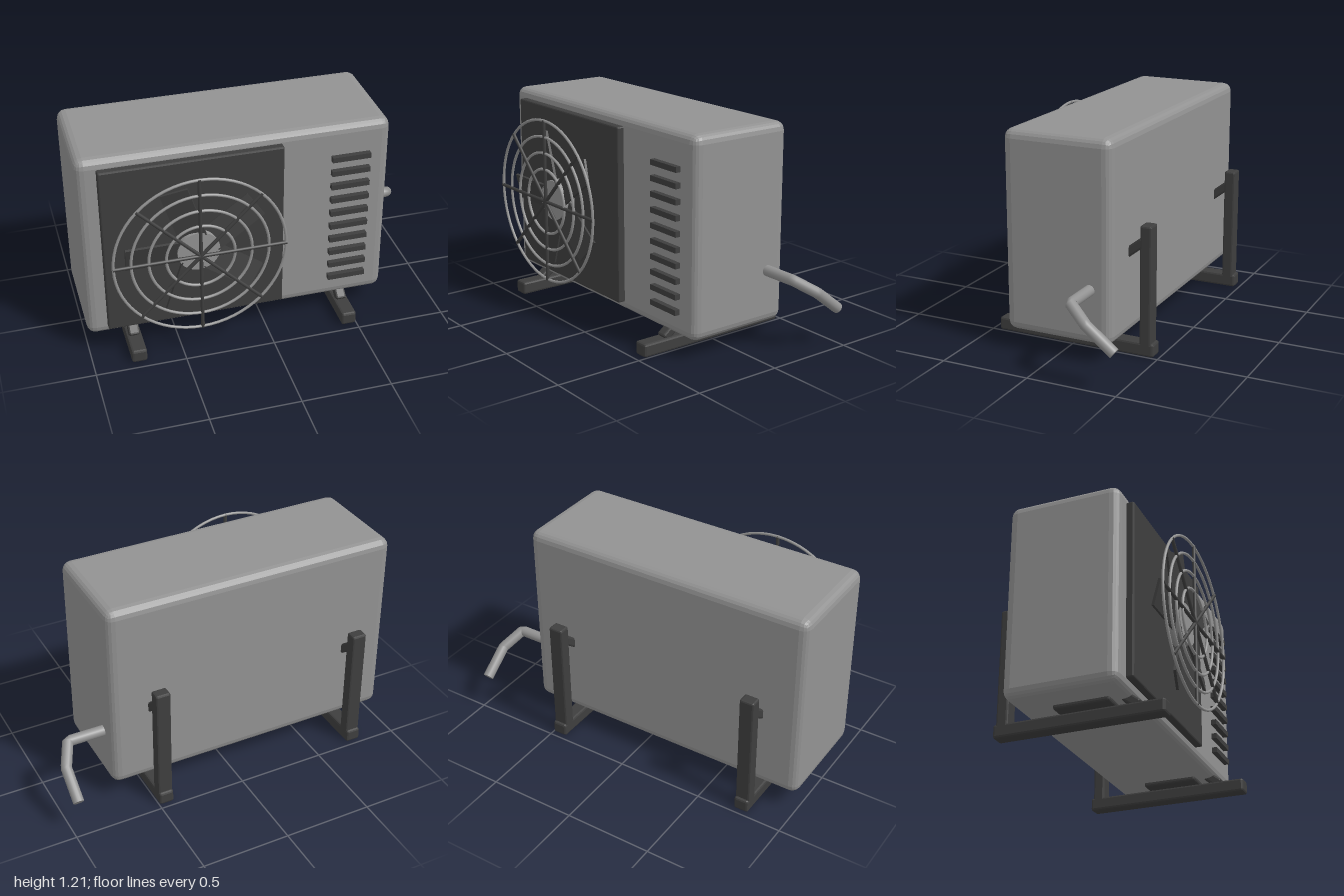
import * as THREE from 'three';
import { RoundedBoxGeometry } from 'three/addons/geometries/RoundedBoxGeometry.js';

const material = (name, color) => Object.assign(new THREE.MeshStandardMaterial({ color }), { name });

export function createModel() {
  const model = new THREE.Group();
  model.name = 'airConditionerUnit';
  const grey = material('casing grey', 0x929292);
  const dark = material('dark grey', 0x3e3e3e);

  function add(parent, name, geometry, mat, x = 0, y = 0, z = 0) {
    const mesh = new THREE.Mesh(geometry, mat);
    mesh.name = name;
    mesh.position.set(x, y, z);
    parent.add(mesh);
    return mesh;
  }
  function group(name, x = 0, y = 0, z = 0) {
    const g = new THREE.Group();
    g.name = name;
    g.position.set(x, y, z);
    model.add(g);
    return g;
  }
  // Box with faceted bevelled edges
  function bevelBox(w, h, d, bevel, segments = 1) {
    const g = new RoundedBoxGeometry(w, h, d, segments, bevel);
    g.computeVertexNormals();
    return g;
  }

  // Casing and the dark plate behind the fan
  add(model, 'casing', bevelBox(1.7, 1.1, 0.62, 0.05, 2), grey, -0.15, 0.655, -0.015);
  add(model, 'fanPanel', bevelBox(0.985, 0.99, 0.06, 0.008), dark, -0.3975, 0.655, 0.305);

  // Vent slats
  const vents = group('vents', 0.475, 0.248, 0.3);
  for (let i = 0; i < 10; i++) {
    add(vents, 'ventSlat', new THREE.BoxGeometry(0.215, 0.03, 0.05), dark, 0, i * 0.0853, 0);
  }

  // Fan: hub and five pitched blades
  const fan = group('fan', -0.4, 0.655, 0.4);
  const hub = add(fan, 'fanHub', new THREE.CylinderGeometry(0.115, 0.115, 0.075, 32), grey);
  hub.rotation.x = Math.PI / 2;
  for (let i = 0; i < 5; i++) {
    const arm = new THREE.Group();
    arm.name = 'fanBladeArm';
    arm.rotation.z = Math.PI + i * Math.PI * 2 / 5;
    fan.add(arm);
    const blade = add(arm, 'fanBlade', new THREE.BoxGeometry(0.31, 0.15, 0.014), dark, 0.235, 0, 0.014);
    blade.rotation.x = -0.25;
  }

  // Wire guard: concentric rings and crossing spokes
  const guard = group('fanGuard', -0.4, 0.655, 0.479);
  for (const radius of [0.185, 0.278, 0.371, 0.464]) {
    add(guard, 'guardRing', new THREE.TorusGeometry(radius, 0.008, 8, 64), grey);
  }
  for (let i = 0; i < 4; i++) {
    const spoke = add(guard, 'guardSpoke', new THREE.CylinderGeometry(0.01, 0.01, 0.935, 8), dark, 0, 0, 0.002);
    spoke.rotation.z = i * Math.PI / 4;
  }

  // Two wall brackets, each a foot, post, diagonal brace and rubber pad
  for (const x of [-0.75, 0.455]) {
    const bracket = group(x < 0 ? 'rightBracket' : 'leftBracket', x);
    add(bracket, 'foot', bevelBox(0.085, 0.075, 0.93, 0.012), dark, 0, 0.0375, -0.008);
    add(bracket, 'post', bevelBox(0.085, 0.70, 0.065, 0.01), dark, 0, 0.37, -0.425);
    const brace = add(bracket, 'brace', bevelBox(0.06, 0.05, 0.91, 0.01), dark, 0, 0.35, -0.048);
    brace.rotation.x = 0.665;
    add(bracket, 'pad', bevelBox(0.172, 0.04, 0.305, 0.01), dark, 0, 0.104, 0.033);
  }

  // Bent refrigerant pipe with a closed end
  const points = [[0.65, 0.405, -0.205], [0.905, 0.405, -0.205], [0.965, 0.33, -0.32], [0.965, 0.21, -0.475]]
    .map((p) => new THREE.Vector3(...p));
  const path = new THREE.CurvePath();
  for (let i = 0; i < 3; i++) path.add(new THREE.LineCurve3(points[i], points[i + 1]));
  const pipe = group('pipe');
  add(pipe, 'pipeTube', new THREE.TubeGeometry(path, 40, 0.03, 16), grey);
  const end = add(pipe, 'pipeEnd', new THREE.CircleGeometry(0.03, 16), grey, ...points[3].toArray());
  end.quaternion.setFromUnitVectors(new THREE.Vector3(0, 0, 1), points[3].clone().sub(points[2]).normalize());

  return model;
}
